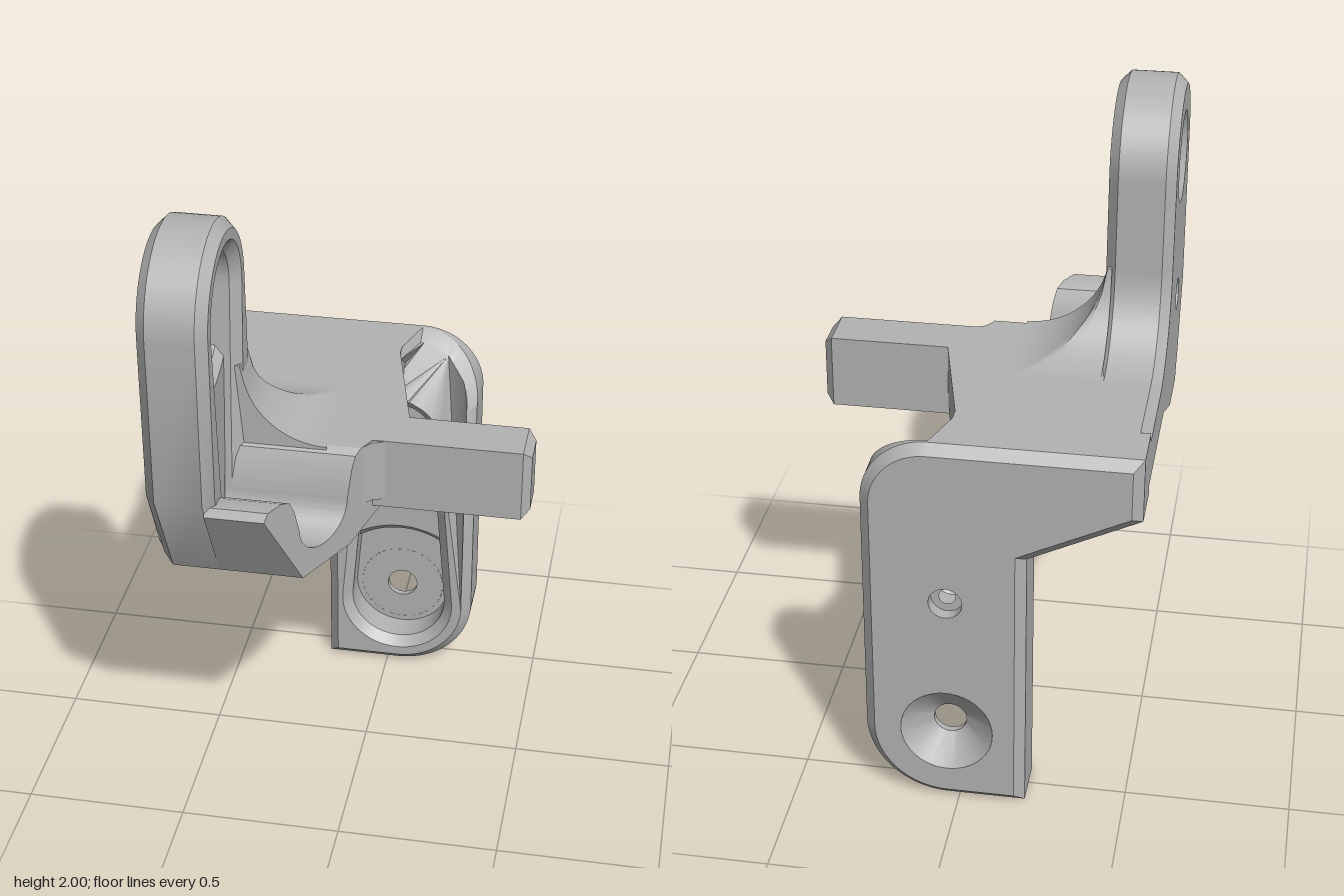
import * as THREE from 'three';
import { toCreasedNormals } from 'three/addons/utils/BufferGeometryUtils.js';

const V = (x, y, z) => new THREE.Vector3(x, y, z);
const grey = new THREE.MeshStandardMaterial({ color: 0xb2b2b2, side: THREE.DoubleSide });
grey.name = 'grey plastic';

function part(name, geometry, crease = 0.5) {
  const mesh = new THREE.Mesh(toCreasedNormals(geometry, crease), grey);
  mesh.name = name;
  return mesh;
}

// Extrusion that keeps its outline size, with chamfered rims
function slab(shape, depth, bevel = 0) {
  const geo = new THREE.ExtrudeGeometry(shape, {
    depth: depth - 2 * bevel, curveSegments: 24, bevelEnabled: bevel > 0,
    bevelThickness: bevel, bevelSize: bevel, bevelOffset: -bevel, bevelSegments: 1,
  });
  return geo.translate(0, 0, bevel);
}

const polygon = (pts) => new THREE.Shape(pts.map(([x, y]) => new THREE.Vector2(x, y)));

function circle(v, r) {
  const p = new THREE.Path();
  p.absarc(0, v, r, 0, Math.PI * 2, true);
  return p;
}

// Tapered slot: wide end at the origin, narrow end at v = 0.66
function slot(grow = 0, Kind = THREE.Shape) {
  const tilt = 0.083;
  const s = new Kind();
  s.absarc(0, 0, 0.158 + grow, Math.PI - tilt, 2 * Math.PI + tilt, false);
  s.absarc(0, 0.66, 0.103 + grow, tilt, Math.PI - tilt, false);
  s.closePath();
  return s;
}

// Recessed mounting plate, outer face at w = 0
function mount(name, outline, thickness, reshape) {
  const group = new THREE.Group();
  group.name = name;
  outline.holes.push(slot(0, THREE.Path));
  const plate = slab(outline, thickness, 0.03);
  if (reshape) reshape(plate.attributes.position);
  group.add(part('plate', plate));

  // Recess floor with the two screw holes
  const floor = slot(0.031);
  floor.holes.push(circle(0, 0.14), circle(0.46, 0.05));
  group.add(part('recessFloor', slab(floor, 0.09)));

  // Raised floor around the inner screw hole
  const raised = new THREE.Shape();
  const a = Math.acos(0.165 / 0.25);
  raised.absarc(0, 0, 0.25, a, Math.PI - a, false);
  raised.absarc(0, 0.66, 0.12, Math.PI, 0, true);
  raised.closePath();
  raised.holes.push(circle(0.46, 0.05));
  group.add(part('raisedFloor', slab(raised, 0.11, 0.025).translate(0, 0, 0.04)));

  // Countersink at the outer screw hole
  const profile = [[0.14, 0], [0.05, 0.07], [0.05, 0.09], [0.14, 0.09]];
  const sink = new THREE.LatheGeometry(profile.map(([r, h]) => new THREE.Vector2(r, h)), 32);
  group.add(part('countersink', sink.rotateX(Math.PI / 2)));
  return group;
}

// Upright side arm, with the left rim of the platform and its fillet
function sideArm() {
  const s = new THREE.Shape();
  s.moveTo(0.25, 0);
  s.lineTo(0.25, 0.51);
  s.lineTo(0.09, 0.83);
  s.lineTo(-0.11, 0.83);
  s.lineTo(-0.36, 0.72);
  s.lineTo(-0.92, 0.72);
  s.lineTo(-0.92, 0.52);
  s.absarc(-0.51, 0.27, 0.25, Math.PI / 2, 0, true);
  s.lineTo(-0.25, 0);
  s.absarc(0, 0, 0.25, Math.PI, 2 * Math.PI, false);
  const arm = mount('sideArm', s, 0.2);
  arm.rotation.setFromRotationMatrix(
    new THREE.Matrix4().makeBasis(V(0, 0, 1), V(0, -1, 0), V(1, 0, 0)));
  arm.position.set(-0.53, 1.75, 0.36);
  return arm;
}

// Hanging back arm, with a wing behind the platform and a scooped top corner
function backArm() {
  const s = new THREE.Shape();
  s.moveTo(-0.235, -0.25);
  s.lineTo(0, -0.25);
  s.absarc(0, 0, 0.25, -Math.PI / 2, 0, false);
  s.lineTo(0.25, 0.78);
  s.absarc(0.05, 0.78, 0.2, 0, Math.PI / 2, false);
  s.lineTo(0.005, 0.98);
  s.lineTo(-0.565, 0.98);
  s.lineTo(-0.565, 0.78);
  s.lineTo(-0.235, 0.62);
  s.closePath();
  const arm = mount('backArm', s, 0.21, (p) => {
    for (let i = 0; i < p.count; i++) {
      const v = p.getY(i);
      if (p.getZ(i) > 0.1 && p.getX(i) > 0.03 && v > 0.78) {
        p.setZ(i, p.getZ(i) - (v - 0.78) * 0.7);
      }
    }
  });
  arm.position.set(0.035, 0.25, -0.61);
  return arm;
}

// Front block with a trough leading out of the side recess, cut off at an angle
function frontBlock() {
  const s = new THREE.Shape();
  s.moveTo(0, 1.03);
  for (const [z, y] of [[0.25, 0.92], [0.45, 0.92], [0.6, 1.2], [0.585, 1.225],
    [0.53, 1.225], [0.5, 1.21], [0.48, 1.17]]) s.lineTo(-z, y);
  s.absarc(-0.36, 1.09, 0.1, Math.PI, 2 * Math.PI, false);
  for (const [z, y] of [[0.24, 1.18], [0.225, 1.215], [0.2, 1.23], [0, 1.23]]) s.lineTo(-z, y);
  s.closePath();
  const geo = slab(s, 1);
  geo.applyMatrix4(new THREE.Matrix4().makeBasis(V(0, 0, -1), V(0, 1, 0), V(1, 0, 0)));
  const p = geo.attributes.position;
  for (let i = 0; i < p.count; i++) {
    p.setX(i, p.getX(i) < 0.5 ? -0.36 : -0.19 + (0.61 - p.getZ(i)) * 0.514);
  }
  return part('frontBlock', geo);
}

// Mitred concave fillet from the side arm down to the platform
function armFillet() {
  const nx = 20, nz = 24, r = 0.25;
  const geo = new THREE.PlaneGeometry(1, 1, nx, nz).rotateX(-Math.PI / 2);
  const p = geo.attributes.position;
  for (let i = 0; i < p.count; i++) {
    const ix = i % (nx + 1), iz = Math.floor(i / (nx + 1));
    const x = -0.35 + 0.27 * ix / nx;
    const z = -0.15 + 0.365 * Math.min(1, iz / (nz - 1));
    const d = Math.min(r, Math.max(x + 0.33, 0.1 - z, 0));
    const y = 1.23 + r - Math.sqrt(r * r - (r - d) ** 2);
    p.setXYZ(i, x, iz === nz ? 1.15 : y, z);
  }
  return part('armFillet', geo);
}

export function createModel() {
  const model = new THREE.Group();
  model.name = 'bracket';
  model.add(sideArm(), backArm(), frontBlock(), armFillet());

  // Platform joining the two arms
  const deck = polygon([[-0.5, 0.57], [0.04, 0.57], [0.04, 0.39], [0.14, -0.03],
    [0.107, -0.03], [-0.5, -0.03]]);
  model.add(part('platform', slab(deck, 0.2).rotateX(-Math.PI / 2).translate(0, 1.03, 0)));

  // Small gusset under the platform at the back arm
  const gusset = polygon([[0.42, 0.93], [0.42, 1.04], [0.36, 1.04]]);
  model.add(part('gusset', slab(gusset, 0.25).rotateY(Math.PI / 2).translate(-0.45, 0, 0)));

  // Finger pointing sideways, with a small web at its root
  const finger = polygon([[-0.15, 1], [0, 1], [0, 1.23], [-0.15, 1.23]]);
  model.add(part('finger', slab(finger, 0.52, 0.025).rotateY(Math.PI / 2)));
  const web = polygon([[0.02, -0.1], [0.02, -0.2], [0.045, -0.165], [0.09, -0.148], [0.09, -0.1]]);
  model.add(part('fingerWeb', slab(web, 0.2).rotateX(-Math.PI / 2).translate(0, 1.028, 0)));
  return model;
}
